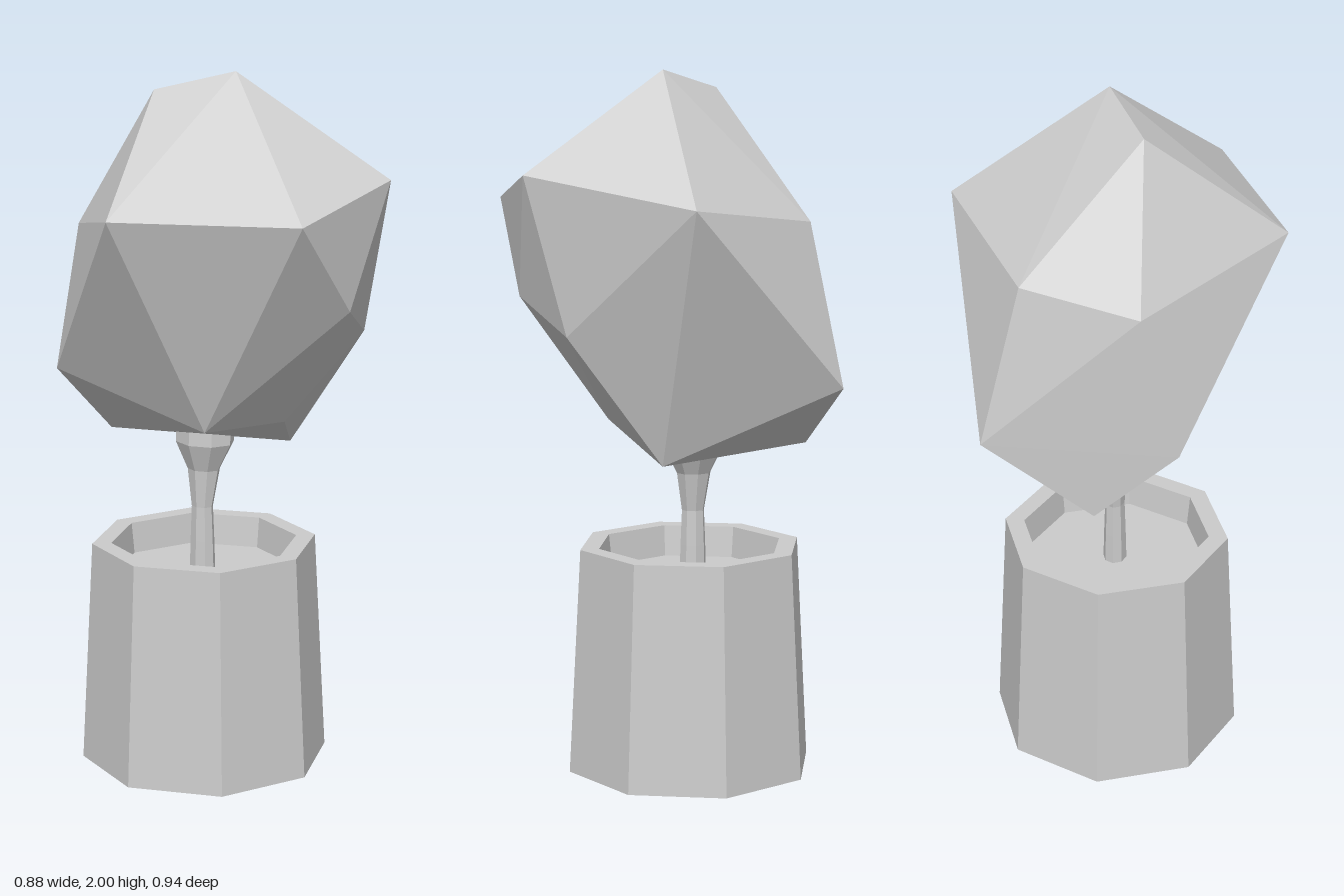
import * as THREE from 'three';
import { ConvexGeometry } from 'three/addons/geometries/ConvexGeometry.js';

const material = new THREE.MeshStandardMaterial({ color: 0xcccccc, flatShading: true });

// Faceted solid of revolution from [radius, height] pairs
function turned(name, profile, sides) {
  const points = profile.map(([r, y]) => new THREE.Vector2(r, y));
  const geometry = new THREE.LatheGeometry(points, sides).toNonIndexed();
  geometry.computeVertexNormals();
  const mesh = new THREE.Mesh(geometry, material);
  mesh.name = name;
  return mesh;
}

export function createModel() {
  const group = new THREE.Group();
  group.name = 'pottedTree';

  // Eight-sided tapered pot: base, outer wall, flat rim, inner wall
  const pot = turned('pot', [[0, 0], [0.36, 0], [0.325, 0.65], [0.27, 0.65], [0.26, 0.56]], 8);
  pot.position.set(-0.08, 0, 0.006);

  // Soil surface inside the pot
  const soil = turned('soil', [[0.262, 0.56], [0, 0.56]], 8);
  soil.position.copy(pot.position);

  // Slim trunk that flares into the crown
  const trunk = turned('trunk', [[0.04, 0.55], [0.037, 0.65], [0.033, 0.75], [0.05, 0.86], [0.09, 0.94], [0.09, 1.03]], 8);
  trunk.position.set(-0.088, 0, 0.004);
  trunk.scale.z = 0.85;
  // Lean the flare slightly backwards
  const p = trunk.geometry.attributes.position;
  for (let i = 0; i < p.count; i++) p.setZ(i, p.getZ(i) - 0.08 * Math.max(0, p.getY(i) - 0.75));
  trunk.geometry.computeVertexNormals();

  // Irregular faceted crown, leaning over to one side
  const corners = [
    [0.01, 2.0, -0.025], [-0.182, 1.948, 0.095], // top
    [-0.054, 1.64, 0.466], [0.417, 1.64, 0.232], [0.438, 1.722, -0.154], // upper ring
    [0.045, 1.64, -0.47], [-0.363, 1.585, -0.206], [-0.435, 1.555, 0.126],
    [0.415, 1.38, 0.003], [0.33, 1.285, -0.196], // middle
    [-0.436, 1.15, 0.231], [-0.428, 1.13, -0.308],
    [0.07, 1.03, 0.2], [0.172, 1.03, -0.037], // underside
    [-0.427, 0.93, 0.0], [0.065, 0.92, -0.217],
  ];
  const crown = new THREE.Mesh(
    new ConvexGeometry(corners.map((c) => new THREE.Vector3(...c))), material);
  crown.name = 'crown';

  group.add(pot, soil, trunk, crown);
  return group;
}
